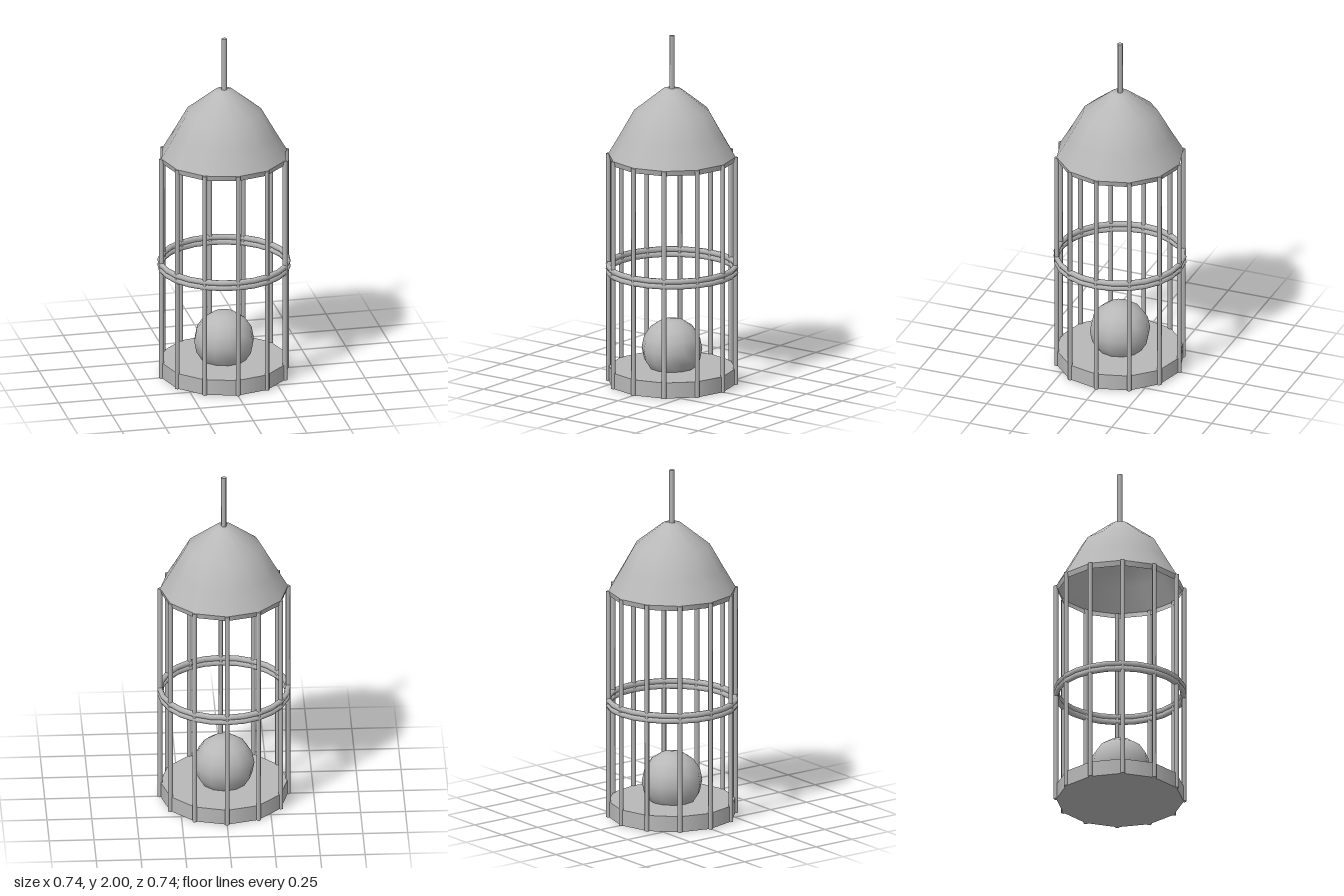
import * as THREE from 'three';

export function createModel() {
  const model = new THREE.Group();
  model.name = 'birdcage';
  const grey = new THREE.MeshStandardMaterial({ color: 0xb8b8b8, side: THREE.DoubleSide });
  grey.name = 'grey';

  const add = (name, geometry, x = 0, y = 0, z = 0) => {
    const mesh = new THREE.Mesh(geometry, grey);
    mesh.name = name;
    mesh.position.set(x, y, z);
    model.add(mesh);
    return mesh;
  };
  const lathe = (points) =>
    new THREE.LatheGeometry(points.map(([r, y]) => new THREE.Vector2(r, y)), 12);

  const SIDES = 12;
  const RADIUS = 0.356;

  // Floor and the ball resting in it
  add('floor', new THREE.CylinderGeometry(RADIUS, RADIUS, 0.09, SIDES), 0, 0.045, 0);
  add('ball', new THREE.SphereGeometry(0.17, 12, 8), 0, 0.2, 0);

  // Upright bars
  const barGeometry = new THREE.CylinderGeometry(0.014, 0.014, 1.31, 5);
  for (let i = 0; i < SIDES; i++) {
    const a = (i / SIDES) * Math.PI * 2;
    const bar = add('bar', barGeometry, Math.sin(a) * RADIUS, 0.655, Math.cos(a) * RADIUS);
    bar.rotation.y = a;
  }

  // Pair of hoops around the bars
  const hoopGeometry = new THREE.TorusGeometry(RADIUS, 0.016, 6, 24);
  for (const y of [0.645, 0.675]) add('hoop', hoopGeometry, 0, y, 0).rotation.x = Math.PI / 2;

  // Open domed roof with a short rim
  add('roof', lathe([[0.357, 1.31], [0.285, 1.435], [0.212, 1.565], [0.052, 1.692], [0, 1.697]]));
  add('roofRim', lathe([[0.35, 1.28], [0.357, 1.31]]));

  // Hanging rod
  add('hangingRod', new THREE.CylinderGeometry(0.016, 0.016, 0.32, 5), 0, 1.84, 0);

  return model;
}
